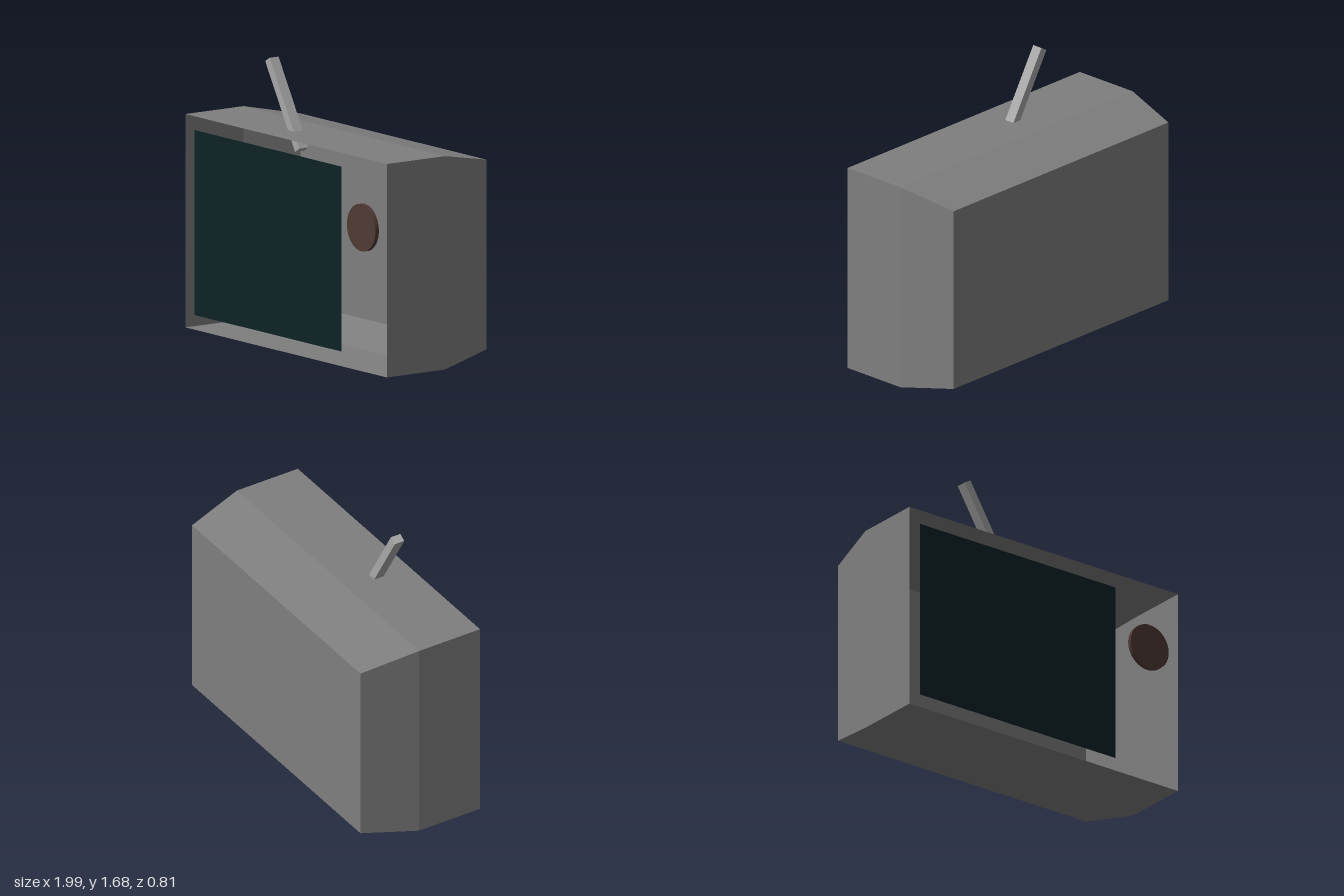
import * as THREE from 'three';

const mat = (name, color, extra = {}) => {
  const m = new THREE.MeshStandardMaterial({ color, ...extra });
  m.name = name;
  return m;
};

// Open-fronted shell: rectangular rings joined front to back, then closed at the rear
function shellGeometry(rings) {
  const loops = rings.map(({ x, y0, y1, z }) => [[-x, y0, z], [x, y0, z], [x, y1, z], [-x, y1, z]]);
  const pos = [];
  const quad = (a, b, c, d) => pos.push(...a, ...b, ...c, ...a, ...c, ...d);
  for (let r = 0; r < loops.length - 1; r++) {
    const f = loops[r], b = loops[r + 1];
    for (let i = 0; i < 4; i++) {
      const j = (i + 1) % 4;
      quad(f[i], b[i], b[j], f[j]);
    }
  }
  const [p, q, s, t] = loops[loops.length - 1];
  quad(q, p, t, s);
  const g = new THREE.BufferGeometry();
  g.setAttribute('position', new THREE.Float32BufferAttribute(pos, 3));
  g.computeVertexNormals();
  return g;
}

export function createModel() {
  const group = new THREE.Group();
  group.name = 'television';
  const grey = mat('casing grey', 0x7f7f7f, { side: THREE.DoubleSide });
  const glass = mat('screen dark teal', 0x0d2224, { side: THREE.DoubleSide });
  const brown = mat('knob brown', 0x4f3a34);
  const silver = mat('antenna light grey', 0xa8a8a8);

  const add = (name, geometry, material, x = 0, y = 0, z = 0) => {
    const mesh = new THREE.Mesh(geometry, material);
    mesh.name = name;
    mesh.position.set(x, y, z);
    group.add(mesh);
    return mesh;
  };

  // Casing, straight at the front and tapering to the back panel
  add('casing', shellGeometry([
    { x: 0.995, y0: 0.005, y1: 1.28, z: 0.395 },
    { x: 0.995, y0: 0.005, y1: 1.28, z: -0.03 },
    { x: 0.92, y0: 0.075, y1: 1.208, z: -0.39 },
  ]), grey);

  // Flat screen just inside the opening
  add('screen', new THREE.PlaneGeometry(1.45, 1.105), glass, -0.187, 0.643, 0.388);

  // Round dial facing forward
  const knob = add('knob', new THREE.CylinderGeometry(0.141, 0.141, 0.025, 40), brown, 0.77, 0.868, 0.403);
  knob.rotation.x = Math.PI / 2;

  // Leaning square antenna, passing through the top
  const tilt = 0.535, length = 0.58;
  const antenna = add('antenna', new THREE.BoxGeometry(0.05, length, 0.066), silver,
    -0.427 + Math.sin(tilt) * length / 2, 1.672 - Math.cos(tilt) * length / 2, 0.183);
  antenna.rotation.z = tilt;

  return group;
}
